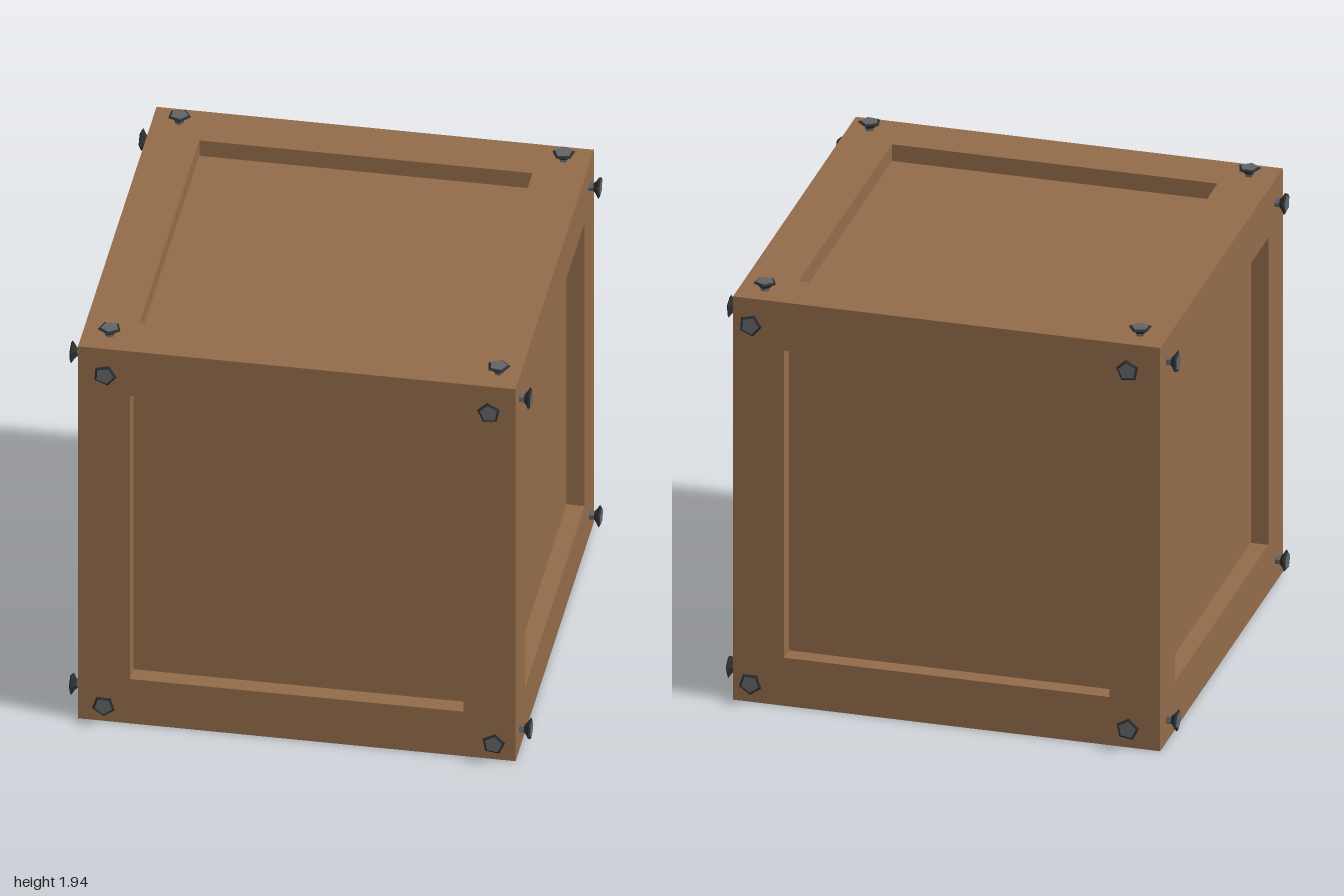
import * as THREE from 'three';

const HALF = 0.948;   // half the crate's side
const INNER = 0.722;  // half the recessed panel's side
const DEPTH = 0.078;  // depth of the recess

const wood = new THREE.MeshStandardMaterial({ color: 0x916a49 });
wood.name = 'wood';
const steel = new THREE.MeshStandardMaterial({ color: 0x606366, flatShading: true });
steel.name = 'steel';
const darkSteel = new THREE.MeshStandardMaterial({ color: 0x2b2d2f, flatShading: true });
darkSteel.name = 'dark steel';

function mesh(name, geometry, material, parent) {
  const m = new THREE.Mesh(geometry, material);
  m.name = name;
  parent.add(m);
  return m;
}

function square(Type, h) {
  return new Type([[-h, -h], [h, -h], [h, h], [-h, h]].map(([x, y]) => new THREE.Vector2(x, y)));
}

// Five-sided stud: thin shank, flared head and a flat cap, pointing along +z
function stud(x, y, length, spin) {
  const g = new THREE.Group();
  g.name = 'stud';
  const profile = (points) => new THREE.LatheGeometry(
    points.map(([r, h]) => new THREE.Vector2(r, h)), 5).rotateX(Math.PI / 2);
  mesh('shank', profile([[0.02, -0.01], [0.02, length - 0.03]]), steel, g);
  mesh('flare', profile([[0.02, length - 0.03], [0.03, length - 0.02],
    [0.052, length - 0.007], [0.04, length]]), darkSteel, g);
  mesh('cap', profile([[0.04, length], [0, length]]), steel, g);
  g.position.set(x, y, HALF);
  g.rotation.z = spin;
  return g;
}

// One crate side facing +z: border, recess walls, sunken panel and four studs
function side(name, studs, length) {
  const g = new THREE.Group();
  g.name = name;
  const border = square(THREE.Shape, HALF);
  border.holes.push(square(THREE.Path, INNER));
  mesh('border', new THREE.ShapeGeometry(border).translate(0, 0, HALF), wood, g);
  mesh('panel', new THREE.PlaneGeometry(2 * INNER, 2 * INNER).translate(0, 0, HALF - DEPTH), wood, g);
  for (let i = 0; i < 4; i++) {
    const wall = new THREE.PlaneGeometry(2 * INNER, DEPTH)
      .rotateX(-Math.PI / 2)
      .translate(0, -INNER, HALF - DEPTH / 2)
      .rotateZ(i * Math.PI / 2);
    mesh('recessWall', wall, wood, g);
  }
  studs.forEach(([x, y], i) => g.add(stud(x, y, length, 0.25 + i * 0.5)));
  return g;
}

export function createModel() {
  const crate = new THREE.Group();
  crate.name = 'crate';
  const Q = Math.PI / 2;
  const T = 0.842, B = -0.843;

  // Sides with slightly uneven studs: name, tilt, turn, stud length, stud centres
  const sides = [
    ['frontSide', 0, 0, 0.05, [[-0.825, T], [0.84, T], [-0.83, B], [0.86, B]]],
    ['leftSide', 0, Q, 0.052, [[-0.85, T], [0.825, T], [-0.85, B], [0.84, B]]],
    ['backSide', 0, 2 * Q, 0.05, [[-0.86, T], [0.815, T], [-0.86, B], [0.815, B]]],
    ['rightSide', 0, -Q, 0.052, [[-0.845, T], [0.83, T], [-0.845, B], [0.84, B]]],
    ['topSide', -Q, 0, 0.042, [[-0.83, 0.845], [0.835, 0.845], [-0.83, -0.838], [0.855, -0.838]]],
  ];
  for (const [name, tilt, turn, length, studs] of sides) {
    const s = side(name, studs, length);
    s.rotation.set(tilt, turn, 0);
    s.position.y = HALF;
    crate.add(s);
  }

  // Plain underside
  mesh('bottom', new THREE.PlaneGeometry(2 * HALF, 2 * HALF).rotateX(Q), wood, crate);
  return crate;
}
